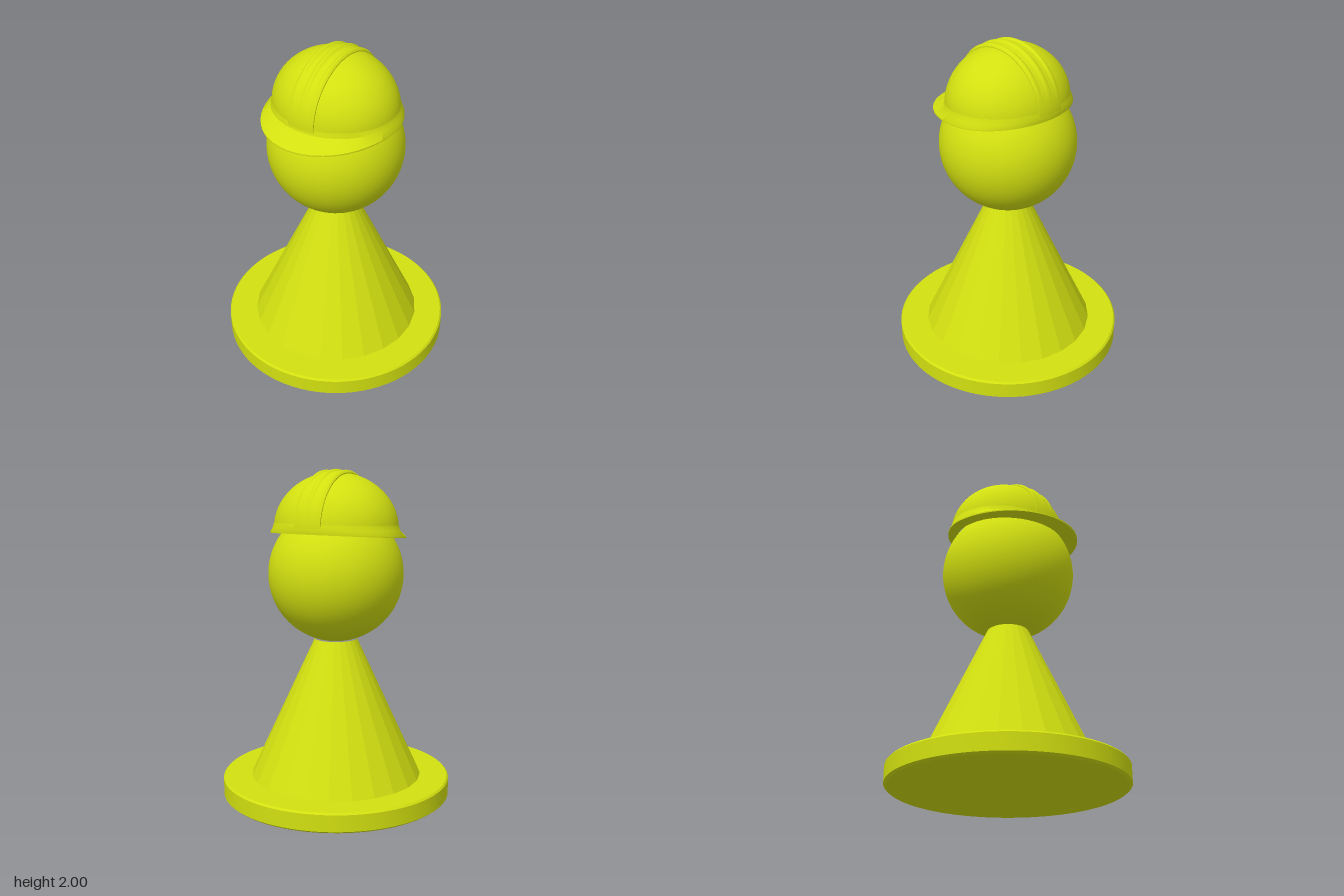
import * as THREE from 'three';
import { toCreasedNormals } from 'three/addons/utils/BufferGeometryUtils.js';

// Surface through a grid of points: columns run along +x at the front, rows run upward
function gridSurface(rows, cols, point) {
  const positions = [], index = [];
  for (let r = 0; r <= rows; r++)
    for (let c = 0; c <= cols; c++) positions.push(...point(r, c));
  for (let r = 0; r < rows; r++)
    for (let c = 0; c < cols; c++) {
      const a = r * (cols + 1) + c, b = a + cols + 1;
      index.push(a, a + 1, b, a + 1, b + 1, b);
    }
  const geometry = new THREE.BufferGeometry();
  geometry.setAttribute('position', new THREE.Float32BufferAttribute(positions, 3));
  geometry.setIndex(index);
  return toCreasedNormals(geometry, 0.6);
}

function lathe(profile, segments) {
  const points = profile.map(([x, y]) => new THREE.Vector2(x, y));
  return toCreasedNormals(new THREE.LatheGeometry(points, segments), 0.6);
}

export function createModel() {
  const model = new THREE.Group();
  model.name = 'helmetedPawn';
  const yellow = new THREE.MeshStandardMaterial({ color: 0xd2e010 });
  yellow.name = 'limeYellow';

  const add = (name, geometry, parent = model) => {
    const mesh = new THREE.Mesh(geometry, yellow);
    mesh.name = name;
    parent.add(mesh);
    return mesh;
  };

  // Round foot plate with softened edges
  add('base', lathe([[0, 0], [0.69, 0], [0.705, 0.012], [0.705, 0.112], [0.695, 0.123], [0, 0.123]], 80));

  // Faceted conical body
  const body = new THREE.CylinderGeometry(0.13, 0.53, 0.86, 24, 1, true).toNonIndexed();
  body.computeVertexNormals();
  body.translate(0, 0.55, 0);
  add('body', body);

  // Ball head
  add('head', new THREE.SphereGeometry(0.41, 56, 40)).position.y = 1.378;

  // Hard hat, turned slightly to its left
  const helmet = new THREE.Group();
  helmet.name = 'helmet';
  helmet.rotation.y = 0.095;
  model.add(helmet);

  const RX = 0.385, RY = 0.336, RZ = 0.342, CY = 1.65, COLS = 72;
  const angle = c => (c / COLS) * Math.PI * 2;

  // Shell: half ellipsoid
  const domeRows = 20;
  add('helmetShell', gridSurface(domeRows, COLS, (r, c) => {
    const t = angle(c), lift = (r / domeRows) * (Math.PI / 2 - 0.002);
    return [RX * Math.cos(lift) * Math.sin(t), CY + RY * Math.sin(lift), RZ * Math.cos(lift) * Math.cos(t)];
  }), helmet);

  // Brim: tilted rim that stretches into a visor at the front
  const tilt = z => 1.637 - 0.08 * (z + 0.34);
  const rim = t => [0.41 * Math.sin(t), (Math.cos(t) > 0 ? 0.468 : 0.347) * Math.cos(t)];
  add('helmetBrim', gridSurface(4, COLS, (r, c) => {
    const t = angle(c), s = Math.sin(t), k = Math.cos(t);
    const [x, z] = rim(t);
    if (r === 0) return [0.34 * s, tilt(0.31 * k), 0.31 * k];
    if (r === 1) return [x, tilt(z), z];
    if (r === 2) return [x, tilt(z) + 0.009, z];
    if (r === 3) return [0.392 * s, 1.65 - 0.015 * k, 0.349 * k];
    return [(RX - 0.002) * s, 1.682 - 0.012 * k, (RZ - 0.002) * k];
  }), helmet);

  // Raised centre strip with three ribs that fade toward both ends
  const half = 0.086, ridgeRows = 44, ridgeCols = 36;
  add('helmetRidge', gridSurface(ridgeRows, ridgeCols, (r, c) => {
    const v = (r / ridgeRows) * Math.PI;
    const edge = c === 0 || c === ridgeCols;
    const u = edge ? (c ? 1 : -1) : ((c - 1) / (ridgeCols - 2)) * 2 - 1;
    const x = u * half;
    const shrink = Math.sqrt(1 - (x / RX) ** 2);
    const rib = Math.max(0, Math.cos(u * Math.PI * 2.5)) * Math.max(0, Math.sin(v) - 0.25) * 0.016;
    const h = edge ? -0.01 : 0.006 + rib;
    return [x, CY + (RY * shrink + h) * Math.sin(v), (RZ * shrink + h) * Math.cos(v)];
  }), helmet);

  return model;
}
